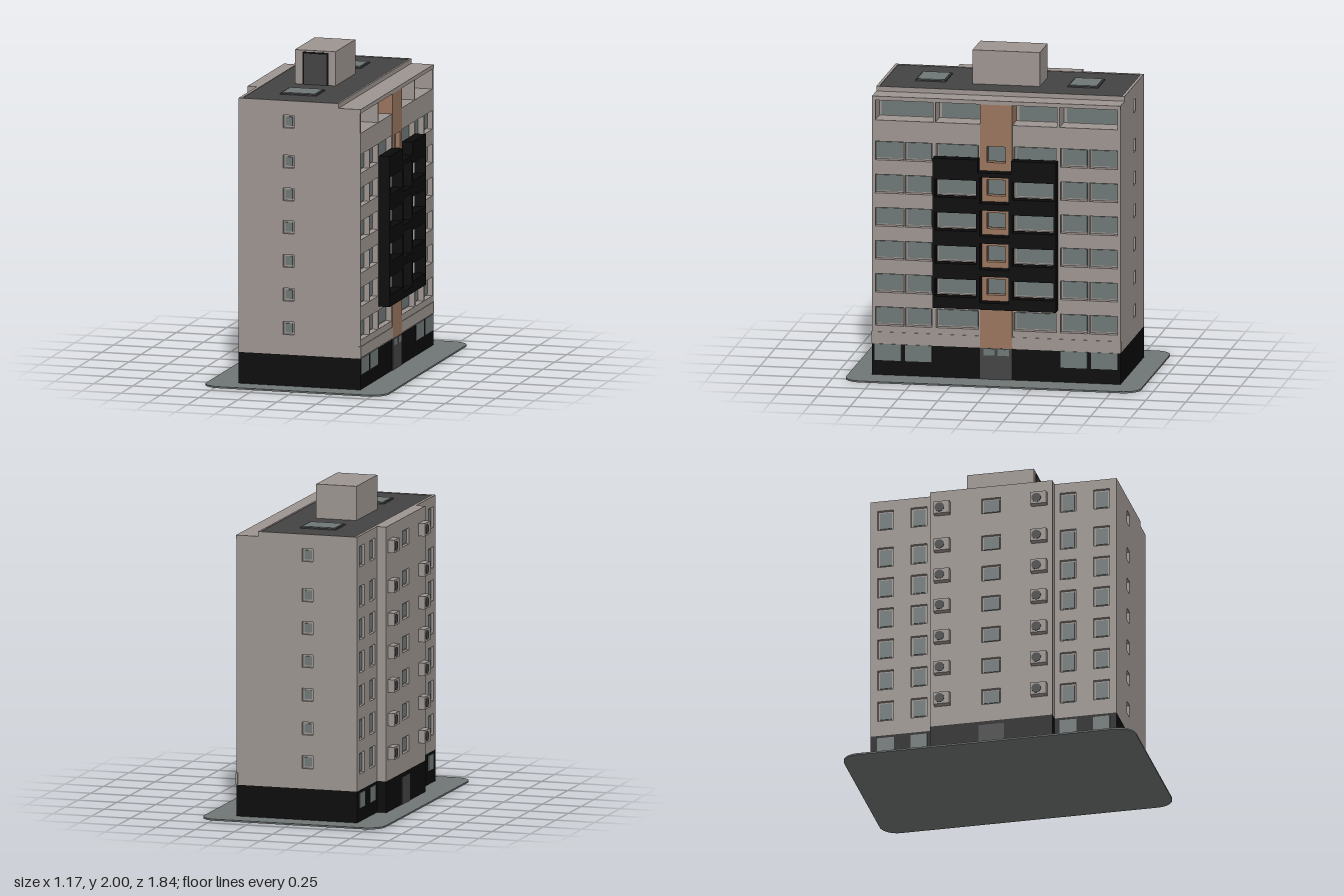
import * as THREE from 'three';

const paint = (name, color) => {
  const m = new THREE.MeshStandardMaterial({ color });
  m.name = name;
  return m;
};

export function createModel() {
  const wall = paint('plaster', 0x9d9591);
  const roof = paint('roofing', 0x434343);
  const black = paint('blackCladding', 0x0a0a0a);
  const tan = paint('tanCladding', 0x98755e);
  const glass = paint('glass', 0x6f7877);
  const paving = paint('paving', 0x707675);
  const model = new THREE.Group();
  model.name = 'apartmentBlock';

  const add = (parent, name, geo, mat) => {
    const m = new THREE.Mesh(geo, mat);
    m.name = name;
    parent.add(m);
    return m;
  };
  // Box given by its minimum and maximum on each axis
  const box = (parent, name, mat, x0, x1, y0, y1, z0, z1) => {
    const m = add(parent, name, new THREE.BoxGeometry(x1 - x0, y1 - y0, z1 - z0), mat);
    m.position.set((x0 + x1) / 2, (y0 + y1) / 2, (z0 + z1) / 2);
    return m;
  };
  const rectPoints = ([u0, u1, y0, y1]) =>
    [[u0, y0], [u1, y0], [u1, y1], [u0, y1]].map(p => new THREE.Vector2(...p));
  // Wall panel with rectangular holes, from depth n0 to n1 along the face normal
  const panel = (parent, name, mat, points, holes, n0, n1) => {
    const shape = new THREE.Shape(points);
    holes.forEach(h => shape.holes.push(new THREE.Path(rectPoints(h).reverse())));
    const geo = new THREE.ExtrudeGeometry(shape, { depth: n1 - n0, bevelEnabled: false });
    add(parent, name, geo, mat).position.z = n0;
  };
  // Thin pane set inside an opening, leaving a border
  const pane = (parent, [u0, u1, y0, y1], n, border) =>
    box(parent, 'windowPane', glass, u0 + border, u1 - border, y0 + border, y1 - border, n, n + 0.006);
  // One group per elevation: local x runs along the wall, local z points outwards
  const elevation = (name, turn) => {
    const g = new THREE.Group();
    g.name = name;
    g.rotation.y = turn;
    model.add(g);
    return g;
  };
  const mirrored = ([u0, u1, y0, y1], s) => (s > 0 ? [u0, u1, y0, y1] : [-u1, -u0, y0, y1]);

  // Paved ground slab with rounded corners
  const w = 0.585, d = 0.92, r = 0.11;
  const slab = new THREE.Shape();
  slab.absarc(w - r, d - r, r, 0, Math.PI / 2);
  slab.absarc(r - w, d - r, r, Math.PI / 2, Math.PI);
  slab.absarc(r - w, r - d, r, Math.PI, Math.PI * 1.5);
  slab.absarc(w - r, r - d, r, Math.PI * 1.5, Math.PI * 2);
  add(model, 'pavedGround', new THREE.ExtrudeGeometry(slab, { depth: 0.01, bevelEnabled: false, curveSegments: 8 }), paving)
    .rotation.x = -Math.PI / 2;

  // Black plinth, inner core and roof slabs
  box(model, 'plinth', black, -0.39, 0.39, 0.01, 0.205, -0.775, 0.775);
  box(model, 'stairPlinth', black, -0.45, -0.39, 0.01, 0.205, -0.385, 0.385);
  box(model, 'core', wall, -0.37, 0.35, 0.205, 1.61, -0.755, 0.755);
  box(model, 'topFloorCore', wall, -0.37, 0.25, 1.61, 1.74, -0.755, 0.755);
  box(model, 'stairCore', wall, -0.43, -0.37, 0.205, 1.79, -0.365, 0.365);
  box(model, 'roofSlab', wall, -0.39, 0.25, 1.74, 1.783, -0.775, 0.775);
  box(model, 'loggiaCanopy', wall, 0.25, 0.392, 1.735, 1.76, -0.775, 0.775);
  box(model, 'roofSurface', roof, -0.37, 0.237, 1.78, 1.787, -0.757, 0.757);
  for (const s of [-1, 1]) {
    box(model, 'roofEdge', wall, -0.39, 0.25, 1.78, 1.79, s * 0.766 - 0.009, s * 0.766 + 0.009);
    box(model, 'roofHatchFrame', roof, -0.185, 0.045, 1.785, 1.795, s * 0.475 - 0.095, s * 0.475 + 0.095);
    box(model, 'roofHatchGlass', glass, -0.175, 0.035, 1.793, 1.799, s * 0.475 - 0.085, s * 0.475 + 0.085);
  }
  box(model, 'roofEdge', wall, -0.39, -0.37, 1.78, 1.79, -0.775, 0.775);
  box(model, 'roofEdge', wall, 0.237, 0.25, 1.78, 1.79, -0.775, 0.775);

  // Roof stair house with a door
  box(model, 'roofHouse', wall, -0.2, 0.06, 1.785, 2, -0.21, 0.21);
  box(model, 'roofDoorFrame', black, -0.15, 0.015, 1.787, 1.99, 0.21, 0.213);
  box(model, 'roofDoor', roof, -0.14, 0.005, 1.787, 1.98, 0.212, 0.216);

  // Gable ends, each with one column of small windows
  const floors = [0.37, 0.58, 0.79, 1, 1.205, 1.41, 1.66];
  for (const s of [1, -1]) {
    const g = elevation(s > 0 ? 'frontGable' : 'rearGable', s > 0 ? 0 : Math.PI);
    const openings = floors.map(y => mirrored([-0.105, -0.035, y - 0.04, y + 0.04], s));
    panel(g, 'gableWall', wall, rectPoints(mirrored([-0.39, 0.389, 0.205, 1.74], s)), openings, 0.755, 0.775);
    openings.forEach(o => pane(g, o, 0.756, 0.012));
  }

  // Main elevation: strip windows either side of a tan centre strip
  const main = elevation('balconyElevation', Math.PI / 2);
  const rows = [0, 1, 2, 3, 4, 5].map(i => [0.32 + 0.208 * i, 0.437 + 0.208 * i]);
  for (const s of [-1, 1]) {
    const openings = rows.flatMap(([a, b]) =>
      [[0.11, 0.375], [0.4, 0.57], [0.58, 0.765]].map(([u0, u1]) => mirrored([u0, u1, a, b], s)));
    panel(main, 'facadeWall', wall, rectPoints(mirrored([0.1, 0.775, 0.205, 1.61], s)), openings, 0.35, 0.39);
    openings.forEach(o => pane(main, o, 0.351, 0.009));
    box(main, 'facadeBand', wall, ...mirrored([0.1, 0.778, 0.21, 0.28], s), 0.38, 0.394);
    // Top floor loggias
    [[0.11, 0.375], [0.405, 0.75]].forEach(([u0, u1]) => pane(main, mirrored([u0, u1, 1.605, 1.74], s), 0.251, 0.01));
    box(main, 'loggiaPartition', wall, ...mirrored([0.38, 0.395, 1.605, 1.74], s), 0.25, 0.388);
    // Plinth windows
    [[0.4, 0.57], [0.59, 0.76]].forEach(([u0, u1]) => pane(main, mirrored([u0, u1, 0.1, 0.207], s), 0.388, 0.002));
    box(main, 'entranceGlass', glass, ...mirrored([0.01, 0.08, 0.16, 0.2], s), 0.392, 0.396);
  }
  const stripWindows = [1, 2, 3, 4, 5].map(i => [-0.058, 0.058, 0.332 + 0.208 * i, 0.432 + 0.208 * i]);
  panel(main, 'tanStrip', tan, rectPoints([-0.1, 0.1, 0.205, 1.61]), stripWindows, 0.35, 0.392);
  stripWindows.forEach(o => pane(main, o, 0.36, 0.004));
  box(main, 'tanStripTop', tan, -0.1, 0.1, 1.61, 1.737, 0.25, 0.392);
  box(main, 'entranceDoor', roof, -0.1, 0.1, 0.01, 0.205, 0.388, 0.394);

  // Projecting black balcony frame, lower over the centre
  const frame = [[-0.385, 0.46], [0.385, 0.46], [0.385, 1.4], [0.105, 1.4], [0.105, 1.32],
    [-0.105, 1.32], [-0.105, 1.4], [-0.385, 1.4]].map(p => new THREE.Vector2(...p));
  const frameHoles = [1, 2, 3, 4].flatMap(i => {
    const y = 0.208 * i;
    return [[0.112, 0.37, y + 0.325, y + 0.437], [-0.37, -0.112, y + 0.325, y + 0.437], [-0.09, 0.09, y + 0.295, y + 0.46]];
  });
  panel(main, 'balconyFrame', black, frame, frameHoles, 0.39, 0.46);

  // Stair elevation: window columns on the wings and the projecting bay
  const rear = elevation('stairElevation', -Math.PI / 2);
  for (const s of [-1, 1]) {
    const openings = floors.flatMap(y =>
      [0.47, 0.68].map(u => mirrored([u - 0.05, u + 0.05, y - 0.065, y + 0.065], s)));
    panel(rear, 'wingWall', wall, rectPoints(mirrored([0.36, 0.775, 0.205, 1.74], s)), openings, 0.37, 0.39);
    openings.forEach(o => pane(rear, o, 0.371, 0.012));
    for (const u of [0.47, 0.68]) pane(rear, mirrored([u - 0.055, u + 0.055, 0.09, 0.19], s), 0.388, 0.002);
    box(rear, 'baySide', wall, ...mirrored([0.365, 0.385, 0.205, 1.79], s), 0.37, 0.45);
    // Air conditioners with a round fan
    for (const y of floors) {
      const c = y + 0.005;
      box(rear, 'airConditioner', wall, s * 0.305 - 0.05, s * 0.305 + 0.05, c - 0.04, c + 0.04, 0.45, 0.492);
      const fan = add(rear, 'airConditionerFan', new THREE.CylinderGeometry(0.03, 0.03, 0.004, 16), roof);
      fan.rotation.x = Math.PI / 2;
      fan.position.set(s * 0.305 - 0.012, c, 0.493);
    }
  }
  const bayWindows = floors.map(y => [-0.06, 0.06, y - 0.05, y + 0.05]);
  panel(rear, 'bayWall', wall, rectPoints([-0.366, 0.366, 0.205, 1.79]), bayWindows, 0.43, 0.45);
  bayWindows.forEach(o => pane(rear, o, 0.431, 0.01));
  box(rear, 'rearDoor', roof, -0.08, 0.08, 0.01, 0.18, 0.448, 0.454);
  return model;
}
